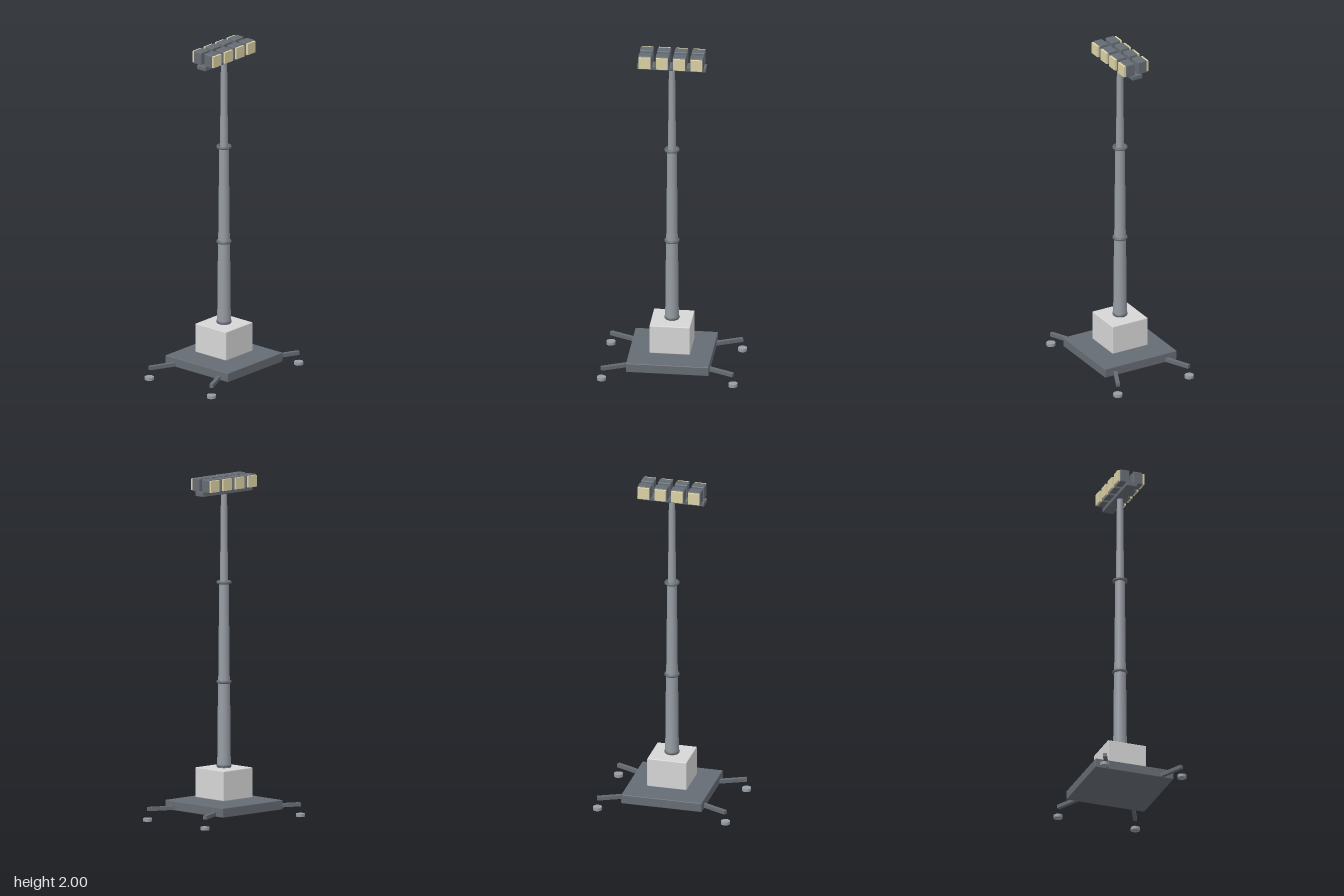
import * as THREE from 'three';
import { RoundedBoxGeometry } from 'three/addons/geometries/RoundedBoxGeometry.js';

function material(name, color) {
  const m = new THREE.MeshStandardMaterial({ color });
  m.name = name;
  return m;
}

export function createModel() {
  const root = new THREE.Group();
  root.name = 'floodlightTower';
  const dark = material('darkSteel', 0x666c74);
  const steel = material('lightSteel', 0x979ca4);
  const pale = material('paleGrey', 0xd6d6d6);
  const cream = material('lensCream', 0xdcd2a6);

  const add = (name, geometry, mat, x = 0, y = 0, z = 0, parent = root) => {
    const mesh = new THREE.Mesh(geometry, mat);
    mesh.name = name;
    mesh.position.set(x, y, z);
    parent.add(mesh);
    return mesh;
  };

  // Base slab and equipment box
  add('baseSlab', new RoundedBoxGeometry(0.48, 0.055, 0.48, 1, 0.004), dark, 0, 0.083, 0);
  add('equipmentBox', new RoundedBoxGeometry(0.236, 0.175, 0.236, 1, 0.005), pale, 0, 0.213, 0);

  // Outriggers splayed to the four corners, each above a round pad
  const from = new THREE.Vector2(0.16, 0.135), to = new THREE.Vector2(0.383, 0.237);
  const length = from.distanceTo(to);
  const angle = Math.atan2(to.y - from.y, to.x - from.x);
  for (const sx of [-1, 1]) {
    for (const sz of [-1, 1]) {
      const arm = add('outrigger', new THREE.BoxGeometry(length, 0.022, 0.022), dark,
        sx * (from.x + to.x) / 2, 0.071, sz * (from.y + to.y) / 2);
      arm.rotation.y = -sx * sz * angle;
      add('footPad', new THREE.CylinderGeometry(0.027, 0.027, 0.018, 12), steel,
        sx * 0.382, 0.009, sz * 0.238);
    }
  }

  // Telescopic mast: [bottom, top, bottom radius, top radius]
  const sections = [
    [0.29, 0.8, 0.04, 0.035],
    [0.78, 1.38, 0.034, 0.028],
    [1.36, 1.91, 0.024, 0.018],
  ];
  for (const [y0, y1, r0, r1] of sections) {
    add('mastSection', new THREE.CylinderGeometry(r1, r0, y1 - y0, 20), steel, 0, (y0 + y1) / 2, 0);
  }

  // Collars where the sections meet
  for (const y of [0.311, 0.8, 1.38]) {
    const ring = add('mastCollar', new THREE.TorusGeometry(0.036, 0.009, 8, 24), dark, 0, y, 0);
    ring.rotation.x = Math.PI / 2;
  }

  // Crossbar with two back-to-back rows of lamps
  add('crossbar', new RoundedBoxGeometry(0.4, 0.026, 0.066, 1, 0.003), dark, 0, 1.912, 0);
  for (const sz of [-1, 1]) {
    for (let i = 0; i < 4; i++) {
      const lamp = new THREE.Group();
      lamp.name = 'lamp';
      lamp.position.set(-0.15 + i * 0.1, 1.961, sz * 0.04);
      root.add(lamp);
      add('lampHousing', new RoundedBoxGeometry(0.078, 0.078, 0.058, 2, 0.006), dark, 0, 0, 0, lamp);
      add('lampLens', new THREE.BoxGeometry(0.068, 0.068, 0.014), cream, 0, 0, sz * 0.035, lamp);
    }
  }
  return root;
}
